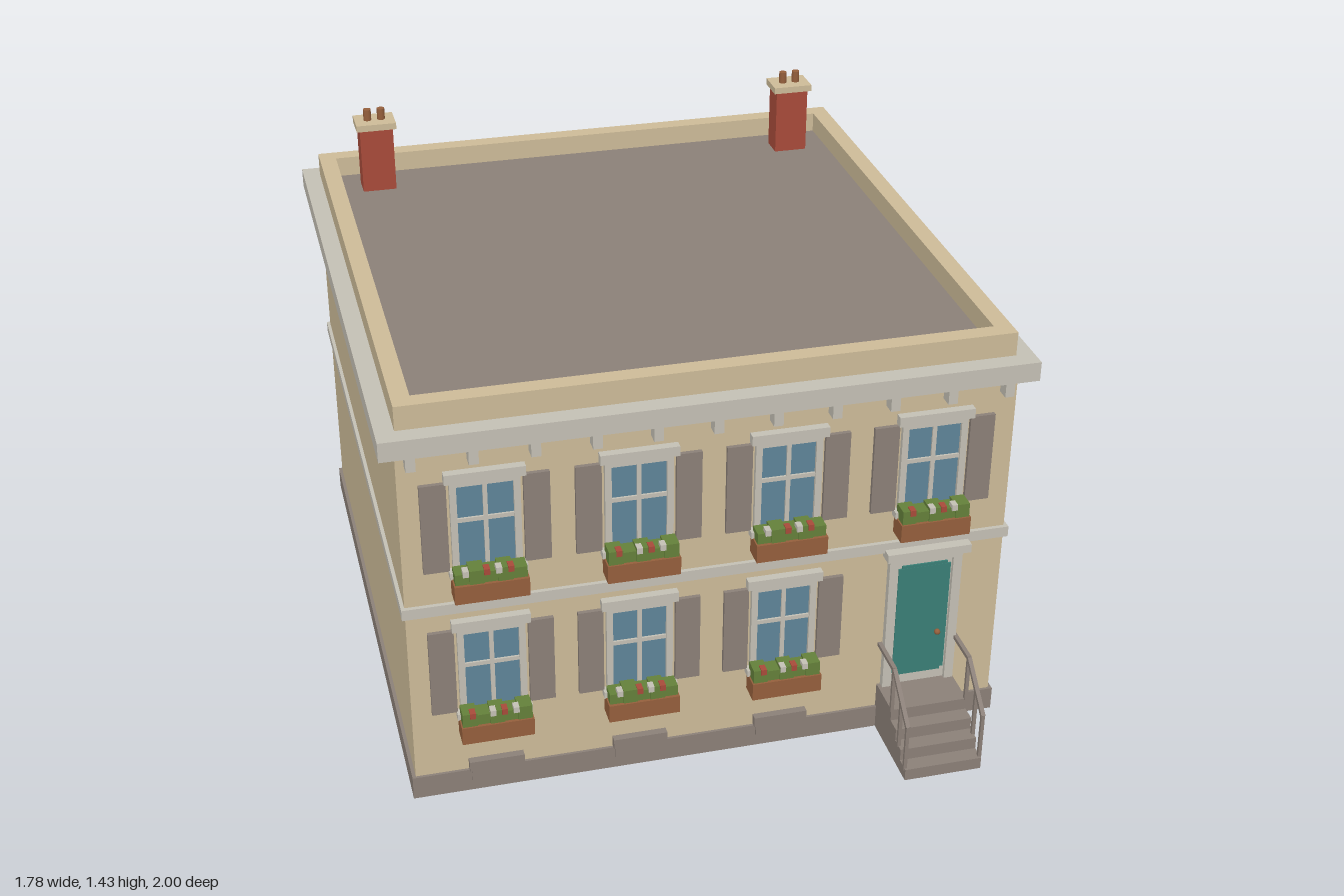
import * as THREE from 'three';

const paint = (name, color) => {
  const m = new THREE.MeshStandardMaterial({ color });
  m.name = name;
  return m;
};

export function createModel() {
  const wall = paint('sandstone', 0xcdbb98);
  const trim = paint('pale trim', 0xc4c0b5);
  const slate = paint('slate', 0x8b8078);
  const brick = paint('brick', 0xa84b3a);
  const wood = paint('wood', 0x955f3c);
  const leaf = paint('leaves', 0x64803a);
  const glass = paint('glass', 0x5f8498);
  const teal = paint('door teal', 0x3a7f76);

  const house = new THREE.Group();
  house.name = 'townhouse';

  const group = (name, x = 0, y = 0, z = 0) => {
    const g = new THREE.Group();
    g.name = name;
    g.position.set(x, y, z);
    house.add(g);
    return g;
  };
  // Box given by its minimum and maximum corners
  const block = (parent, name, mat, x0, x1, y0, y1, z0, z1) => {
    const mesh = new THREE.Mesh(new THREE.BoxGeometry(x1 - x0, y1 - y0, z1 - z0), mat);
    mesh.position.set((x0 + x1) / 2, (y0 + y1) / 2, (z0 + z1) / 2);
    mesh.name = name;
    parent.add(mesh);
    return mesh;
  };
  // Square bar between two points of the same x
  const bar = (parent, name, mat, x, ya, za, yb, zb, t = 0.012) => {
    const mesh = new THREE.Mesh(new THREE.BoxGeometry(t, t, Math.hypot(yb - ya, zb - za)), mat);
    mesh.position.set(x, (ya + yb) / 2, (za + zb) / 2);
    mesh.rotation.x = -Math.atan2(yb - ya, zb - za);
    mesh.name = name;
    parent.add(mesh);
  };

  // Main body
  block(house, 'walls', wall, -0.843, 0.843, 0.03, 1.15, -0.95, 0.738);
  block(house, 'plinth', slate, -0.853, 0.853, 0, 0.07, -0.96, 0.746);
  block(house, 'stringCourse', trim, -0.853, 0.853, 0.602, 0.634, -0.96, 0.75);
  block(house, 'cornice', trim, -0.888, 0.888, 1.11, 1.166, -1, 0.78);
  block(house, 'roof', slate, -0.8, 0.8, 1.15, 1.175, -0.91, 0.69);

  // Parapet around the flat roof
  const parapet = group('parapet');
  for (const s of [-1, 1]) {
    const x = s * 0.812;
    block(parapet, 'parapetSide', wall, x - 0.025, x + 0.025, 1.16, 1.235, -0.947, 0.727);
  }
  block(parapet, 'parapetFront', wall, -0.787, 0.787, 1.16, 1.235, 0.677, 0.727);
  block(parapet, 'parapetBack', wall, -0.787, 0.787, 1.16, 1.235, -0.947, -0.897);

  // Brackets below the front cornice
  for (let i = -5; i <= 5; i++) {
    const x = i * 0.1615;
    block(house, 'bracket', trim, x - 0.013, x + 0.013, 1.068, 1.112, 0.735, 0.775);
  }

  // Chimneys
  for (const x of [-0.67, 0.665]) {
    const c = group('chimney', x, 0, -0.793);
    block(c, 'stack', brick, -0.051, 0.051, 1.17, 1.378, -0.038, 0.038);
    block(c, 'cap', wall, -0.061, 0.061, 1.376, 1.396, -0.047, 0.047);
    for (const px of [-0.021, 0.021]) {
      const pot = new THREE.Mesh(new THREE.CylinderGeometry(0.012, 0.012, 0.036, 12), wood);
      pot.position.set(px, 1.413, 0);
      pot.name = 'chimneyPot';
      c.add(pot);
    }
  }

  // Window with shutters and planter; y = 0 is the top of the planter
  const addWindow = (x, y, seed) => {
    const w = group('window', x, y, 0.738);
    block(w, 'glass', glass, -0.08, 0.08, 0, 0.285, -0.005, 0.004);
    for (const s of [-1, 1]) {
      const jx = s * 0.084, sx = s * 0.136;
      block(w, 'jamb', trim, jx - 0.009, jx + 0.009, 0, 0.29, -0.005, 0.014);
      block(w, 'shutter', slate, sx - 0.035, sx + 0.035, 0.018, 0.285, -0.005, 0.012);
    }
    block(w, 'head', trim, -0.093, 0.093, 0.272, 0.29, -0.005, 0.014);
    block(w, 'lintel', trim, -0.107, 0.107, 0.288, 0.317, -0.005, 0.024);
    block(w, 'sill', trim, -0.104, 0.104, 0, 0.02, -0.005, 0.028);
    block(w, 'mullion', trim, -0.006, 0.006, 0, 0.275, 0, 0.01);
    block(w, 'transom', trim, -0.076, 0.076, 0.162, 0.174, 0, 0.01);

    // Planter, leaves and flowers
    block(w, 'planter', wood, -0.1, 0.1, -0.052, 0.002, 0.006, 0.069);
    for (let i = 0; i < 5; i++) {
      const lx = -0.076 + i * 0.038;
      const h = 0.034 + 0.009 * ((i * 3 + seed) % 2);
      block(w, 'leaves', leaf, lx - 0.02, lx + 0.02, 0, h, 0.014, 0.06 + 0.004 * ((i + seed) % 2));
    }
    for (let i = 0; i < 4; i++) {
      const fx = -0.06 + i * 0.04 + 0.008 * ((i * 5 + seed * 3) % 3 - 1);
      const mat = (i + seed) % 2 ? brick : trim;
      block(w, 'flower', mat, fx - 0.008, fx + 0.008, 0.028, 0.046, 0.042, 0.067);
    }
  };
  const columns = [-0.617, -0.208, 0.202, 0.612];
  columns.forEach((x, i) => addWindow(x, 0.72, i));
  columns.slice(0, 3).forEach((x, i) => addWindow(x, 0.26, i + 1));

  // Basement vents in the plinth
  for (const x of columns.slice(0, 3)) {
    const v = group('basementVent', x, 0, 0.74);
    block(v, 'ventHood', slate, -0.077, 0.077, 0.074, 0.105, -0.005, 0.02);
    block(v, 'ventPanel', slate, -0.07, 0.07, 0.035, 0.076, -0.005, 0.012);
  }

  // Front door
  const door = group('door', 0.612, 0, 0.738);
  block(door, 'doorBacking', trim, -0.1, 0.1, 0.14, 0.59, -0.005, 0.008);
  for (const s of [-1, 1]) {
    const x = s * 0.094;
    block(door, 'doorJamb', trim, x - 0.013, x + 0.013, 0.14, 0.59, -0.005, 0.02);
  }
  block(door, 'doorHead', trim, -0.09, 0.09, 0.562, 0.59, -0.005, 0.02);
  block(door, 'doorLintel', trim, -0.122, 0.122, 0.586, 0.612, -0.005, 0.042);
  block(door, 'doorLeaf', teal, -0.077, 0.077, 0.185, 0.54, 0.004, 0.013);
  block(door, 'doorLeafInner', teal, -0.067, 0.067, 0.176, 0.549, 0.004, 0.0125);
  const knob = new THREE.Mesh(new THREE.SphereGeometry(0.009, 12, 8), wood);
  knob.position.set(0.05, 0.312, 0.018);
  knob.name = 'doorKnob';
  door.add(knob);

  // Entrance steps with railings
  const steps = group('entranceSteps', 0.608);
  [0.865, 0.91, 0.955, 1].forEach((z, i) => {
    block(steps, 'step', slate, -0.113, 0.113, 0, 0.145 - i * 0.0363, 0.735, z);
  });
  for (const x of [-0.111, 0.111]) {
    bar(steps, 'landingRail', slate, x, 0.286, 0.738, 0.286, 0.865);
    bar(steps, 'slopedRail', slate, x, 0.286, 0.863, 0.175, 0.99);
    bar(steps, 'post', slate, x, 0.14, 0.862, 0.286, 0.862, 0.01);
    bar(steps, 'post', slate, x, 0.07, 0.932, 0.225, 0.932, 0.01);
    bar(steps, 'post', slate, x, 0.03, 0.988, 0.178, 0.988, 0.01);
  }

  return house;
}
